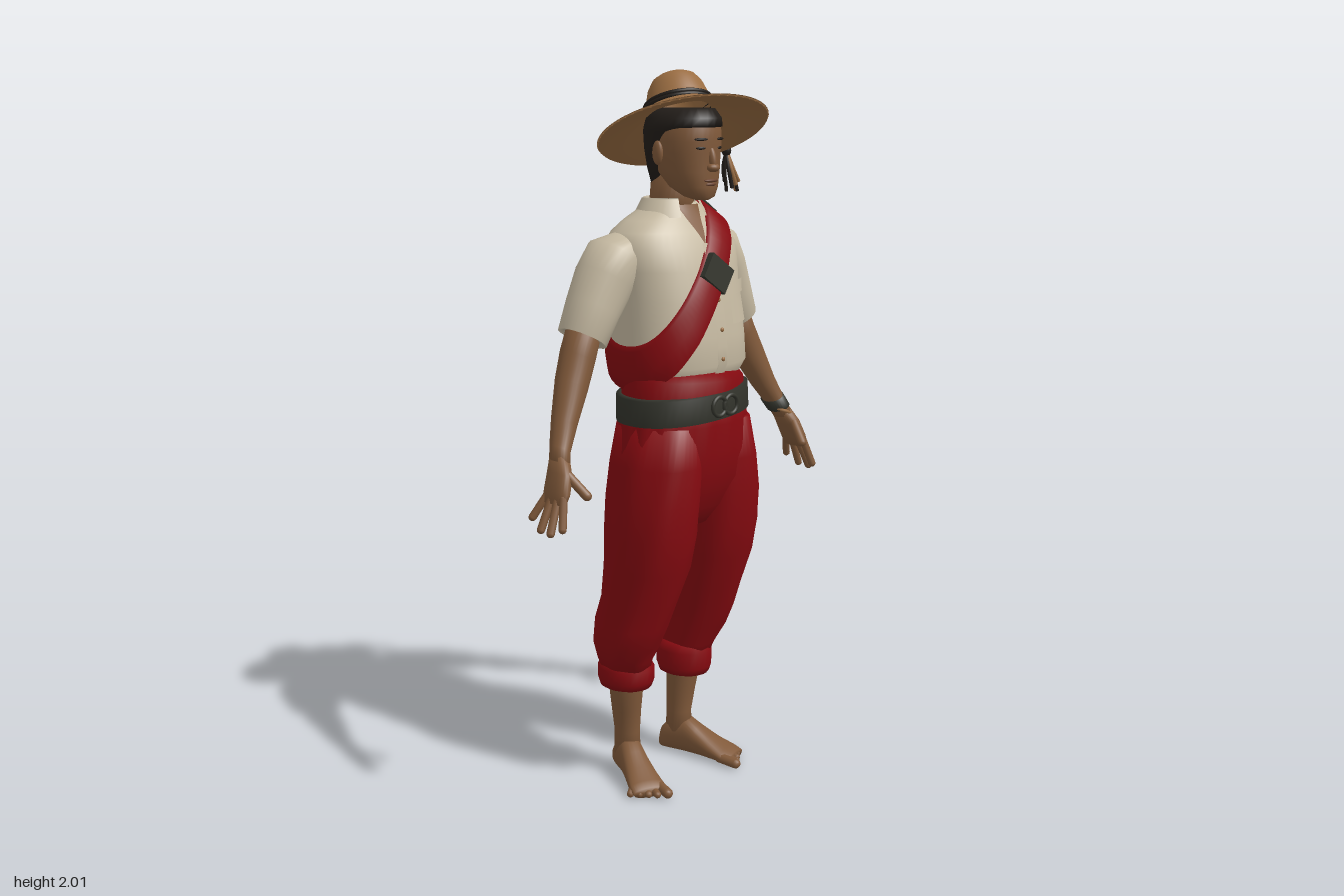
import * as THREE from 'three';

const mat = (name, color, side = THREE.FrontSide) => {
  const m = new THREE.MeshStandardMaterial({ color, side });
  m.name = name;
  return m;
};

// Closed skin over rings [x, y, z, rx, rz, tilt]; n = squareness, fold = depth of pleats
function loft(rows, { seg = 28, n = 2, fold = 0, pleats = 9 } = {}) {
  if (rows[0][1] > rows[rows.length - 1][1]) rows = [...rows].reverse();
  const pos = [], idx = [], last = rows.length - 1;
  const pw = v => Math.sign(v) * Math.abs(v) ** (2 / n);
  rows.forEach(([x, y, z, rx, rz, t = 0], i) => {
    for (let j = 0; j < seg; j++) {
      const a = j / seg * Math.PI * 2;
      const f = 1 + fold * (Math.sin(pleats * a + i * 0.7) + 0.6 * Math.sin(4 * a - i * 1.3));
      const dx = pw(Math.cos(a)) * rx * f;
      pos.push(x + dx * Math.cos(t), y + dx * Math.sin(t), z + pw(Math.sin(a)) * rz * f);
    }
  });
  for (let j = 0; j < seg; j++) {
    const k = (j + 1) % seg;
    for (let i = 0; i < last; i++) {
      const a = i * seg + j, b = i * seg + k;
      idx.push(a, a + seg, b, b, a + seg, b + seg);
    }
    const c = rows.length * seg;
    idx.push(c, j, k, c + 1, last * seg + k, last * seg + j);
  }
  pos.push(...rows[0].slice(0, 3), ...rows[last].slice(0, 3));
  return surface(pos, idx);
}

function surface(pos, idx) {
  const g = new THREE.BufferGeometry();
  g.setAttribute('position', new THREE.Float32BufferAttribute(pos, 3));
  g.setIndex(idx);
  g.computeVertexNormals();
  return g;
}

// Grid surface from a function of (u, v)
function grid(nu, nv, fn) {
  const pos = [], idx = [];
  for (let i = 0; i <= nu; i++) for (let j = 0; j <= nv; j++) pos.push(...fn(i / nu, j / nv));
  for (let i = 0; i < nu; i++) for (let j = 0; j < nv; j++) {
    const a = i * (nv + 1) + j, b = a + nv + 1;
    idx.push(a, b, a + 1, a + 1, b, b + 1);
  }
  return surface(pos, idx);
}

// Shirt body rings, also used to lay things on the chest
const TORSO_N = 2.3;
const torso = [
  [0, 1.165, -0.03, 0.175, 0.14], [0, 1.19, -0.03, 0.185, 0.155], [0.003, 1.22, -0.027, 0.197, 0.166],
  [0, 1.3, -0.03, 0.195, 0.167], [-0.003, 1.4, -0.04, 0.19, 0.16], [0, 1.48, -0.049, 0.2, 0.152],
  [0, 1.54, -0.055, 0.208, 0.138], [0, 1.58, -0.055, 0.185, 0.115], [0, 1.61, -0.055, 0.145, 0.092],
  [0, 1.635, -0.052, 0.1, 0.074], [0, 1.655, -0.05, 0.072, 0.062]];

function ringAt(y) {
  let i = 0;
  while (i < torso.length - 2 && torso[i + 1][1] < y) i++;
  const t = THREE.MathUtils.clamp((y - torso[i][1]) / (torso[i + 1][1] - torso[i][1]), 0, 1);
  return torso[i].map((v, k) => v + (torso[i + 1][k] - v) * t);
}
const inTorso = (x, y, z) => {
  const [cx, , cz, rx, rz] = ringAt(y);
  return y < 1.655 && Math.abs((x - cx) / rx) ** TORSO_N + Math.abs((z - cz) / rz) ** TORSO_N < 1;
};
const chestZ = (x, y) => {
  const [cx, , cz, rx, rz] = ringAt(y);
  return cz + rz * Math.max(0, 1 - Math.abs((x - cx) / rx) ** TORSO_N) ** (1 / TORSO_N);
};
const patch = (x0, x1, y0, y1, off, taper = 1) => grid(8, 8, (u, v) => {
  const mid = (x0 + x1) / 2, y = y0 + (y1 - y0) * v;
  const x = mid + (x0 - mid + (x1 - x0) * u) * (taper + (1 - taper) * v);
  return [x, y, chestZ(x, y) + off];
});

export function createModel() {
  const root = new THREE.Group();
  const skin = mat('skin', 0x80593a), shirt = mat('shirt cloth', 0xc6baa2, THREE.DoubleSide);
  const red = mat('red cloth', 0x860a10, THREE.DoubleSide), straw = mat('straw', 0x9a6d42, THREE.DoubleSide);
  const leather = mat('dark leather', 0x33342c), hair = mat('black hair', 0x221d19);
  const lip = mat('lips', 0x6b432f);

  const add = (name, geo, m, p = [0, 0, 0], r = [0, 0, 0], s = [1, 1, 1], parent = root) => {
    const o = new THREE.Mesh(geo, m);
    o.name = name;
    o.position.set(...p); o.rotation.set(...r); o.scale.set(...s);
    parent.add(o);
    return o;
  };
  const ball = (name, m, p, s, r) => add(name, new THREE.SphereGeometry(1, 16, 12), m, p, r, s);
  const limb = (name, a, b, r, m, parent = root) => {
    const A = new THREE.Vector3(...a), B = new THREE.Vector3(...b), d = B.clone().sub(A);
    const o = add(name, new THREE.CapsuleGeometry(r, d.length(), 4, 10), m, [0, 0, 0], [0, 0, 0], [1, 1, 1], parent);
    o.position.copy(A).add(B).multiplyScalar(0.5);
    o.quaternion.setFromUnitVectors(new THREE.Vector3(0, 1, 0), d.normalize());
  };
  const cord = (name, pts, r, m) => add(name, new THREE.TubeGeometry(
    new THREE.CatmullRomCurve3(pts.map(p => new THREE.Vector3(...p))), 14, r, 6), m);

  // Trousers: seat, then one baggy leg and rolled cuff per side
  add('trouserSeat', loft([
    [-0.01, 1.13, 0.005, 0.185, 0.14], [-0.008, 1.06, 0.005, 0.2, 0.146], [-0.005, 0.98, 0.004, 0.212, 0.147],
    [-0.005, 0.9, 0.002, 0.21, 0.14], [-0.005, 0.82, 0, 0.16, 0.11], [-0.005, 0.765, 0, 0.07, 0.07]],
  { seg: 72, n: 2.2, fold: 0.012, pleats: 17 }), red);
  const legs = [
    { s: 1, rows: [[0.095, 1.06, 0.004, 0.1, 0.13], [0.105, 0.95, 0.004, 0.112, 0.143], [0.117, 0.85, 0.004, 0.115, 0.143],
      [0.119, 0.75, 0, 0.115, 0.141], [0.12, 0.65, -0.012, 0.112, 0.131], [0.118, 0.55, -0.035, 0.1, 0.118],
      [0.115, 0.48, -0.055, 0.088, 0.118], [0.11, 0.42, -0.068, 0.077, 0.106], [0.098, 0.36, -0.08, 0.068, 0.085],
      [0.095, 0.32, -0.085, 0.06, 0.075]], cuff: [0.088, 0.265, 0.36], shin: 0.095, ankle: 0.085, yaw: 0.27 },
    { s: -1, rows: [[-0.105, 1.06, 0.004, 0.1, 0.13], [-0.115, 0.95, 0.004, 0.112, 0.143], [-0.127, 0.85, 0.004, 0.115, 0.143],
      [-0.132, 0.75, 0, 0.115, 0.141], [-0.136, 0.65, -0.012, 0.112, 0.131], [-0.146, 0.55, -0.035, 0.1, 0.118],
      [-0.158, 0.48, -0.055, 0.09, 0.118], [-0.167, 0.42, -0.068, 0.082, 0.106], [-0.16, 0.37, -0.08, 0.07, 0.085],
      [-0.15, 0.32, -0.085, 0.058, 0.075]], cuff: [-0.15, 0.285, 0.365], shin: -0.14, ankle: -0.13, yaw: -0.42 }];
  for (const { s, rows, cuff: [cx, c0, c1], shin, ankle, yaw } of legs) {
    const side = s > 0 ? 'left' : 'right';
    add(side + 'TrouserLeg', loft(rows, { seg: 48, fold: 0.018, pleats: 7 }), red);
    add(side + 'Cuff', loft([[cx, c0 + 0.01, -0.087, 0.055, 0.065], [cx, c0, -0.087, 0.068, 0.08],
      [cx, c0 + 0.02, -0.087, 0.075, 0.087], [cx, c1 - 0.025, -0.085, 0.075, 0.088], [cx, c1, -0.084, 0.06, 0.072]],
    { fold: 0.012 }), red);
    add(side + 'Shin', loft([[shin, 0.36, -0.09, 0.052, 0.058], [shin, 0.27, -0.097, 0.047, 0.052],
      [(shin + ankle) / 2, 0.2, -0.102, 0.04, 0.046], [ankle, 0.13, -0.105, 0.034, 0.04],
      [ankle, 0.06, -0.105, 0.036, 0.042]]), skin);

    // Bare foot turned outwards, with five toes
    const foot = new THREE.Group();
    foot.name = side + 'Foot';
    foot.position.set(ankle, 0, -0.105);
    foot.rotation.y = yaw;
    root.add(foot);
    const sole = [[-0.06, 0.016, 0.04], [-0.05, 0.03, 0.07], [-0.02, 0.037, 0.1], [0.03, 0.037, 0.112], [0.07, 0.04, 0.088],
      [0.12, 0.046, 0.06], [0.165, 0.052, 0.04], [0.19, 0.048, 0.028]]
      .map(([d, w, h]) => [0, d, -h / 2, w, h / 2]);
    add('footBody', loft(sole, { n: 2.3 }).rotateX(Math.PI / 2), skin, undefined, undefined, undefined, foot);
    for (let i = 0; i < 5; i++) {
      const r = i ? 0.0105 : 0.015, x = s * (-0.038 + i * 0.02 + (i ? 0.003 : 0));
      limb('toe', [x * 0.95, 0.018, 0.16], [x * 1.15, r, 0.215 - i * 0.011], r, skin, foot);
    }
  }

  // Waist wrap, belt and buckle
  add('waistSash', loft([[-0.005, 1.09, 0.003, 0.185, 0.145], [-0.005, 1.12, 0.003, 0.192, 0.149],
    [-0.006, 1.18, 0.0, 0.188, 0.15, -0.04], [-0.006, 1.205, 0, 0.17, 0.13, -0.05]], { seg: 48, fold: 0.005 }), red);
  add('belt', loft([[-0.008, 1.075, 0.004, 0.19, 0.14, 0.06], [-0.008, 1.078, 0.004, 0.204, 0.152, 0.06],
    [-0.008, 1.148, 0.002, 0.2, 0.153, 0.06], [-0.008, 1.152, 0.002, 0.188, 0.14, 0.06]], { seg: 48, n: 2.2 }), leather);
  for (const x of [-0.025, 0.02])
    add('beltRing', new THREE.TorusGeometry(0.026, 0.006, 8, 20), leather, [x, 1.115, 0.16], [0, 0, 0.06]);

  // Shirt body, pocket, front strip, collar and open neck
  add('shirtBody', loft(torso, { seg: 48, n: TORSO_N }), shirt);
  add('pocket', patch(0.055, 0.15, 1.33, 1.44, 0.007), shirt);
  add('pocketFlap', patch(0.05, 0.155, 1.41, 1.445, 0.012), shirt);
  add('frontStrip', patch(-0.015, 0.022, 1.18, 1.55, 0.006), shirt);
  for (const y of [1.24, 1.32, 1.4]) ball('button', straw, [0.004, y, chestZ(0.004, y) + 0.007], [0.006, 0.006, 0.004]);
  add('openNeck', patch(-0.045, 0.035, 1.55, 1.65, 0.008, 0.05), skin);
  const collar = [[0.066, 1.63], [0.076, 1.668], [0.082, 1.665], [0.108, 1.618]].map(p => new THREE.Vector2(...p));
  add('collar', new THREE.LatheGeometry(collar, 32, 0.45, Math.PI * 2 - 0.9), shirt, [-0.002, 0, -0.05], undefined, [1, 1, 0.9]);

  // Shoulder sash wrapped round the body in a slanted plane
  const ux = 0.593, uy = 0.805, C = [-0.03, 1.43, -0.035];
  const across = [[-1, 0], [-0.94, 0.013], [0, 0.014], [0.94, 0.013], [1, 0]];
  add('shoulderSash', grid(72, 4, (u, v) => {
    const [w, off] = across[Math.round(v * 4)], a = u * Math.PI * 2;
    const ox = C[0] - uy * w * 0.043, oy = C[1] + ux * w * 0.043;
    const at = r => [ox + ux * Math.cos(a) * r, oy + uy * Math.cos(a) * r, C[2] + Math.sin(a) * r];
    let lo = 0, hi = 0.5;
    for (let i = 0; i < 22; i++) {
      const m = (lo + hi) / 2;
      if (inTorso(...at(m))) lo = m; else hi = m;
    }
    return at(lo + off);
  }), red);
  const slant = Math.atan2(uy, ux);
  add('sashBuckle', new THREE.BoxGeometry(0.075, 0.092, 0.02), leather, [0.005, 1.47, chestZ(0.005, 1.47) + 0.014], [-0.12, 0, slant]);
  add('shoulderClip', new THREE.BoxGeometry(0.075, 0.016, 0.045), leather, [0.125, 1.635, -0.05], [0, 0, -0.6]);

  // Sleeves, arms and hands, mirrored
  for (const s of [1, -1]) {
    const side = s > 0 ? 'left' : 'right';
    const flip = rows => rows.map(([x, y, z, a, b, t = 0.47]) => [x * s, y, z, a, b, t * s]);
    const pt = ([x, y, z]) => [x * s, y, z];
    add(side + 'Sleeve', loft(flip([[0.13, 1.545, -0.065, 0.05, 0.065, 0.95], [0.185, 1.51, -0.075, 0.083, 0.088, 0.72],
      [0.222, 1.455, -0.082, 0.082, 0.085, 0.58], [0.262, 1.38, -0.086, 0.074, 0.077, 0.53],
      [0.298, 1.305, -0.088, 0.067, 0.071, 0.52], [0.297, 1.31, -0.088, 0.052, 0.056, 0.52]]), { fold: 0.008, pleats: 5 }), shirt);
    add(side + 'Arm', loft(flip([[0.285, 1.34, -0.09, 0.047, 0.05], [0.317, 1.26, -0.087, 0.049, 0.051],
      [0.35, 1.19, -0.076, 0.046, 0.048], [0.395, 1.1, -0.056, 0.035, 0.039], [0.43, 1.035, -0.035, 0.026, 0.033],
      [0.445, 1.0, -0.02, 0.024, 0.034]])), skin);
    add(side + 'Palm', loft(flip([[0.44, 1.015, -0.025, 0.022, 0.03, 0.4], [0.456, 0.975, -0.008, 0.022, 0.042, 0.35],
      [0.474, 0.93, 0, 0.018, 0.046, 0.3], [0.484, 0.9, 0, 0.011, 0.042, 0.3]]), { n: 2.4 }), skin);
    [[[0.48, 0.92, 0.033], [0.502, 0.845, 0.052]], [[0.482, 0.915, 0.012], [0.519, 0.832, 0.024]],
      [[0.482, 0.915, -0.012], [0.518, 0.835, -0.015]], [[0.478, 0.92, -0.033], [0.51, 0.86, -0.057]]]
      .forEach(([a, b]) => limb(side + 'Finger', pt(a), pt(b), 0.011, skin));
    limb(side + 'Thumb', pt([0.452, 0.975, 0.02]), pt([0.432, 0.925, 0.07]), 0.013, skin);
  }
  add('wristBand', loft([[0.421, 1.05, -0.041, 0.032, 0.038, 0.47], [0.437, 1.02, -0.03, 0.03, 0.038, 0.47]]), leather);
  add('beadBracelet', new THREE.TorusGeometry(0.032, 0.005, 6, 20), straw, [0.443, 1.005, -0.022], [Math.PI / 2, -0.4, 0]);

  // Neck, head and face
  add('neck', loft([[0, 1.6, -0.05, 0.07, 0.062], [-0.005, 1.66, -0.042, 0.062, 0.06], [-0.01, 1.74, -0.028, 0.06, 0.062]]), skin);
  add('head', loft([[-0.01, 1.666, 0.075, 0.018, 0.02], [-0.01, 1.675, 0.066, 0.038, 0.044], [-0.01, 1.7, 0.045, 0.06, 0.068],
    [-0.01, 1.74, 0.024, 0.075, 0.09], [-0.01, 1.79, 0.014, 0.085, 0.1], [-0.01, 1.82, 0.014, 0.087, 0.103],
    [-0.01, 1.86, 0.012, 0.086, 0.103], [-0.01, 1.9, 0.012, 0.07, 0.085]], { n: 2.15, seg: 36 }), skin);
  ball('noseBridge', skin, [-0.01, 1.775, 0.113], [0.011, 0.034, 0.014], [-0.2, 0, 0]);
  ball('noseTip', skin, [-0.01, 1.752, 0.118], [0.02, 0.012, 0.016]);
  ball('upperLip', lip, [-0.01, 1.718, 0.11], [0.026, 0.005, 0.008]);
  ball('lowerLip', lip, [-0.01, 1.708, 0.107], [0.021, 0.006, 0.009]);
  for (const s of [1, -1]) {
    ball('eye', hair, [-0.01 + s * 0.035, 1.803, 0.106], [0.014, 0.004, 0.005], [0, s * 0.35, 0]);
    ball('brow', hair, [-0.01 + s * 0.036, 1.826, 0.108], [0.02, 0.004, 0.006], [0, s * 0.35, 0]);
    ball('ear', skin, [-0.01 + s * 0.09, 1.79, 0.0], [0.01, 0.032, 0.018]);
  }
  add('hair', loft([[-0.01, 1.7, -0.05, 0.05, 0.04], [-0.01, 1.75, -0.035, 0.074, 0.062], [-0.01, 1.8, -0.03, 0.088, 0.07],
    [-0.01, 1.845, -0.015, 0.094, 0.092], [-0.01, 1.858, 0.006, 0.096, 0.115], [-0.01, 1.88, 0.008, 0.09, 0.112],
    [-0.01, 1.905, 0.008, 0.075, 0.09]], { fold: 0.01, pleats: 11 }), hair);

  // Straw hat, tipped back and to one side
  const hat = new THREE.Group();
  hat.name = 'hat';
  hat.position.set(-0.007, 1.845, 0.002);
  hat.rotation.set(-0.4, 0, -0.16);
  root.add(hat);
  const profile = [[0.085, 0.048], [0.15, 0.018], [0.228, -0.005], [0.232, 0], [0.19, 0.012], [0.15, 0.026], [0.11, 0.048],
    [0.092, 0.066], [0.085, 0.09], [0.075, 0.122], [0.06, 0.146], [0.045, 0.155], [0.02, 0.16], [0, 0.161]];
  add('strawHat', new THREE.LatheGeometry(profile.map(p => new THREE.Vector2(...p)), 56), straw, undefined, undefined, [0.98, 1, 1.04], hat);
  for (const [y, r] of [[0.066, 0.096], [0.077, 0.092]])
    add('hatCord', new THREE.TorusGeometry(r, 0.005, 6, 40), hair, [0, y, 0], [Math.PI / 2, 0, 0], undefined, hat);

  // Cord over the brim and its tassel
  for (const d of [-0.016, 0.016])
    cord('tasselCord', [[0.09, 1.895, -0.05 + d * 0.4], [0.14, 1.853, -0.05 + d], [0.19, 1.82, -0.052 + d * 0.8], [0.222, 1.79, -0.05]], 0.005, hair);
  ball('tasselKnot', hair, [0.222, 1.785, -0.05], [0.014, 0.017, 0.014]);
  for (let i = 0; i < 9; i++) {
    const a = i * 2.4, x = Math.cos(a) * 0.017, z = Math.sin(a) * 0.023;
    cord('tasselStrand', [[0.222, 1.785, -0.05], [0.23 + x * 0.7, 1.735, -0.05 + z * 0.7], [0.245 + x, 1.67 + (i % 4) * 0.009, -0.05 + z]],
      0.005, i % 3 ? hair : straw);
  }
  return root;
}
